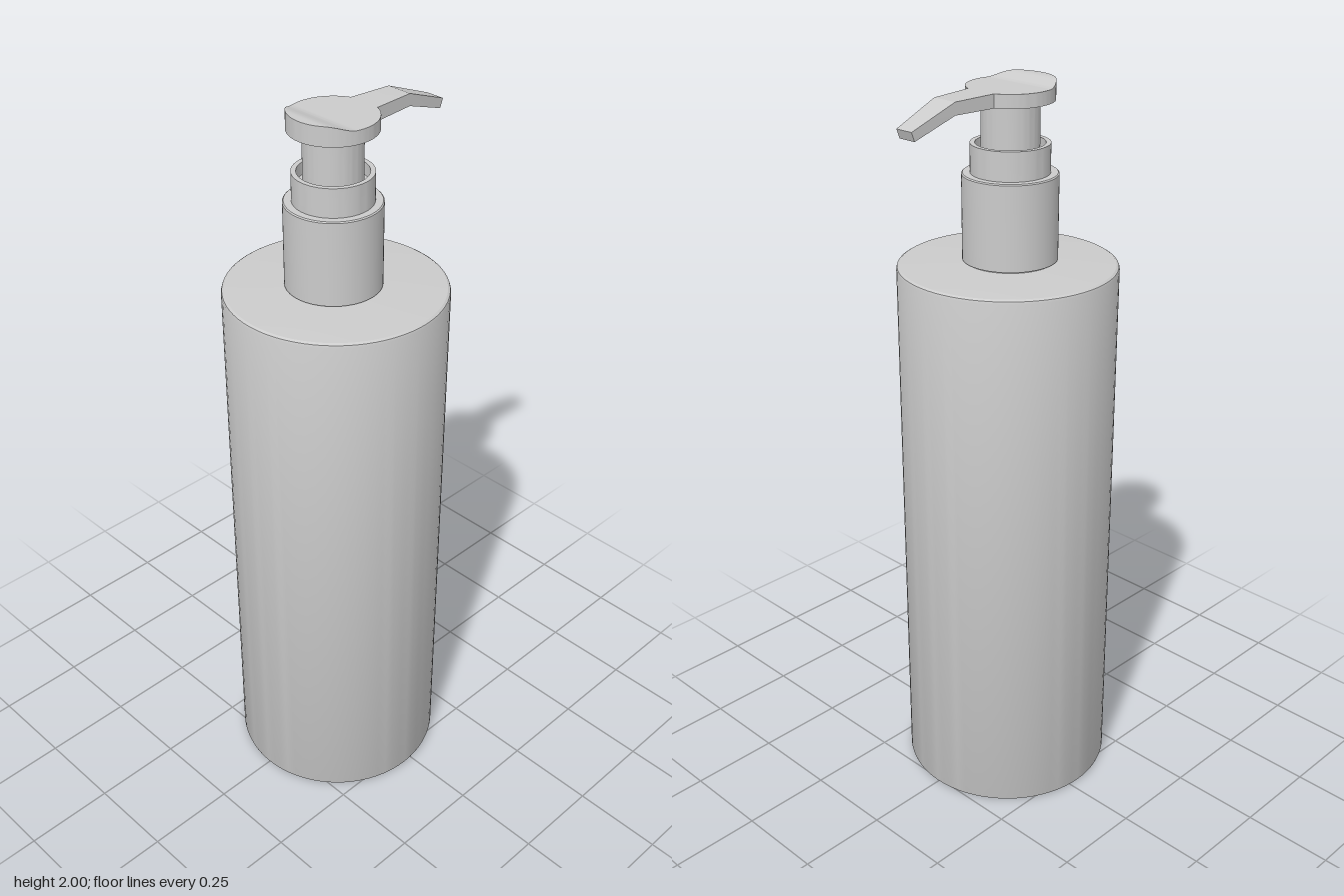
import * as THREE from 'three';
import { toCreasedNormals } from 'three/addons/utils/BufferGeometryUtils.js';

const material = new THREE.MeshStandardMaterial({ color: 0xcccccc });
const BODY_X = -0.029, PUMP_X = -0.037;

function addMesh(group, name, geometry, crease = 0.5) {
  const mesh = new THREE.Mesh(toCreasedNormals(geometry, crease), material);
  mesh.name = name;
  group.add(mesh);
  return mesh;
}

// Round part turned from [radius, height] pairs, listed bottom to top
function addTurned(group, name, x, profile) {
  const points = profile.map(([r, y]) => new THREE.Vector2(r, y));
  addMesh(group, name, new THREE.LatheGeometry(points, 72)).position.x = x;
}

// Solid lofted along x through rectangular sections { x, w (half width), top, bottom }
function loft(sections) {
  const positions = [], index = [];
  for (const { x, w, top, bottom } of sections) {
    positions.push(x, bottom, w, x, top, w, x, top, -w, x, bottom, -w);
  }
  for (let i = 0; i < sections.length - 1; i++) {
    for (let j = 0; j < 4; j++) {
      const a = i * 4 + j, b = i * 4 + (j + 1) % 4;
      index.push(a, a + 4, b, b, a + 4, b + 4);
    }
  }
  const e = (sections.length - 1) * 4;
  index.push(0, 1, 2, 0, 2, 3, e, e + 2, e + 1, e, e + 3, e + 2);
  const geometry = new THREE.BufferGeometry();
  geometry.setAttribute('position', new THREE.Float32BufferAttribute(positions, 3));
  geometry.setIndex(index);
  return geometry;
}

export function createModel() {
  const model = new THREE.Group();
  model.name = 'pumpBottle';

  // Bottle with softened rims and a slightly raised shoulder
  addTurned(model, 'bottle', BODY_X, [
    [0, 0], [0.284, 0], [0.289, 0.003], [0.291, 0.009],
    [0.291, 1.518], [0.289, 1.524], [0.283, 1.528], [0.12, 1.536], [0, 1.536],
  ]);

  // Screw collar on a short neck
  addTurned(model, 'collar', PUMP_X, [
    [0.118, 1.53], [0.118, 1.54], [0.125, 1.54], [0.125, 1.764], [0.122, 1.767], [0, 1.767],
  ]);

  // Guide ring with a shallow recess around the stem
  addTurned(model, 'guideRing', PUMP_X, [
    [0.103, 1.76], [0.103, 1.843], [0.09, 1.843], [0.09, 1.81], [0, 1.81],
  ]);

  addTurned(model, 'stem', PUMP_X, [[0.075, 1.8], [0.075, 1.955]]);

  // Pump head: round pad with a raised thumb lip, running into a tapered spout
  const radius = 0.113, bottom = 1.95;
  const sections = [];
  const joint = Math.asin(0.045 / radius);
  for (let i = 0; i <= 48; i++) {
    const angle = THREE.MathUtils.lerp(Math.PI - 0.02, joint, i / 48);
    const x = PUMP_X + radius * Math.cos(angle);
    const top = 2 - 0.015 * THREE.MathUtils.smoothstep(x, -0.13, -0.065);
    sections.push({ x, w: radius * Math.sin(angle), top, bottom });
  }
  sections.push({ x: 0.188, w: 0.036, top: 1.983, bottom: 1.951 });
  sections.push({ x: 0.32, w: 0.026, top: 1.932, bottom: 1.908 });
  const head = loft(sections);

  // Cut the spout tip square to its slope
  const p = head.attributes.position;
  for (let i = 0; i < p.count; i++) {
    if (p.getX(i) > 0.3 && p.getY(i) < 1.92) p.setX(i, 0.311);
  }
  addMesh(model, 'pumpHead', head, 0.3);

  return model;
}
